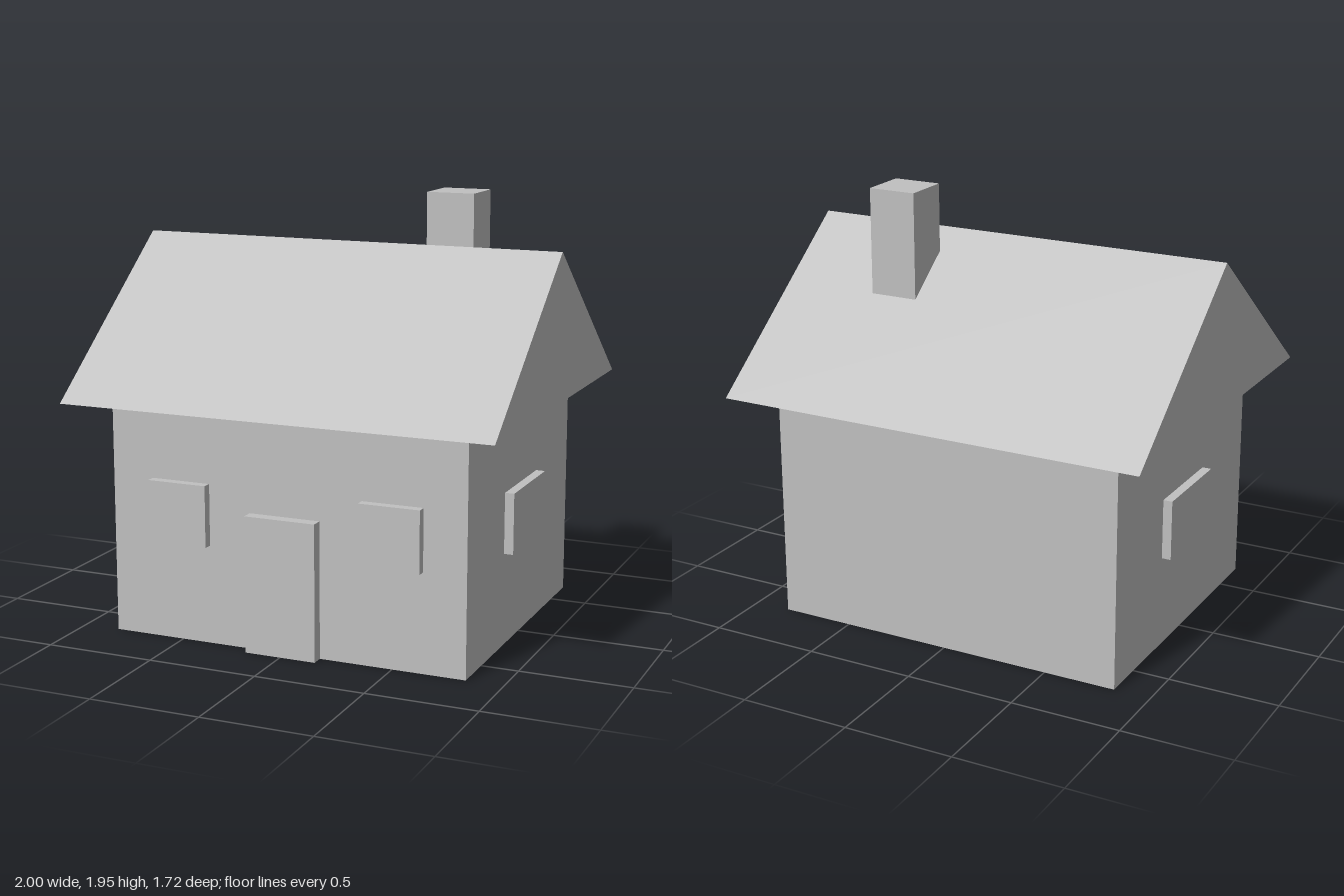
import * as THREE from 'three';

export function createModel() {
  const house = new THREE.Group();
  house.name = 'house';

  const plaster = new THREE.MeshStandardMaterial({ color: 0xc0c0c0 });
  plaster.name = 'light grey';

  const add = (name, geometry) => {
    const mesh = new THREE.Mesh(geometry, plaster);
    mesh.name = name;
    house.add(mesh);
    return mesh;
  };

  // Box given by its extents along each axis
  const block = (name, [x0, x1], [y0, y1], [z0, z1]) =>
    add(name, new THREE.BoxGeometry(x1 - x0, y1 - y0, z1 - z0))
      .position.set((x0 + x1) / 2, (y0 + y1) / 2, (z0 + z1) / 2);

  const wallX = 0.833, wallZ = 0.695, eaves = 1.06, ridge = 1.725;

  // Walls
  block('walls', [-wallX, wallX], [0, eaves], [-wallZ, wallZ]);

  // Gable roof: solid triangular prism along x, overhanging all round
  const gable = new THREE.Shape([
    new THREE.Vector2(-0.86, eaves),
    new THREE.Vector2(0.86, eaves),
    new THREE.Vector2(0, ridge),
  ]);
  const roof = new THREE.ExtrudeGeometry(gable, { depth: 2, bevelEnabled: false });
  roof.translate(0, 0, -1).rotateY(Math.PI / 2);
  add('roof', roof);

  // Chimney on the back slope
  block('chimney', [0.333, 0.555], [1.4, 1.947], [-0.333, -0.112]);

  // Front door
  block('door', [-0.165, 0.165], [0, 0.615], [wallZ - 0.02, 0.75]);

  // A front window and a side window for each half
  for (const [side, s] of [['left', 1], ['right', -1]]) {
    const span = (a, b) => (s > 0 ? [a, b] : [-b, -a]);
    block(`${side}FrontWindow`, span(0.36, 0.638), [0.447, 0.725], [wallZ - 0.02, 0.738]);
    block(`${side}SideWindow`, span(wallX - 0.02, 0.875), [0.42, 0.695], [-0.22, 0.22]);
  }

  return house;
}
